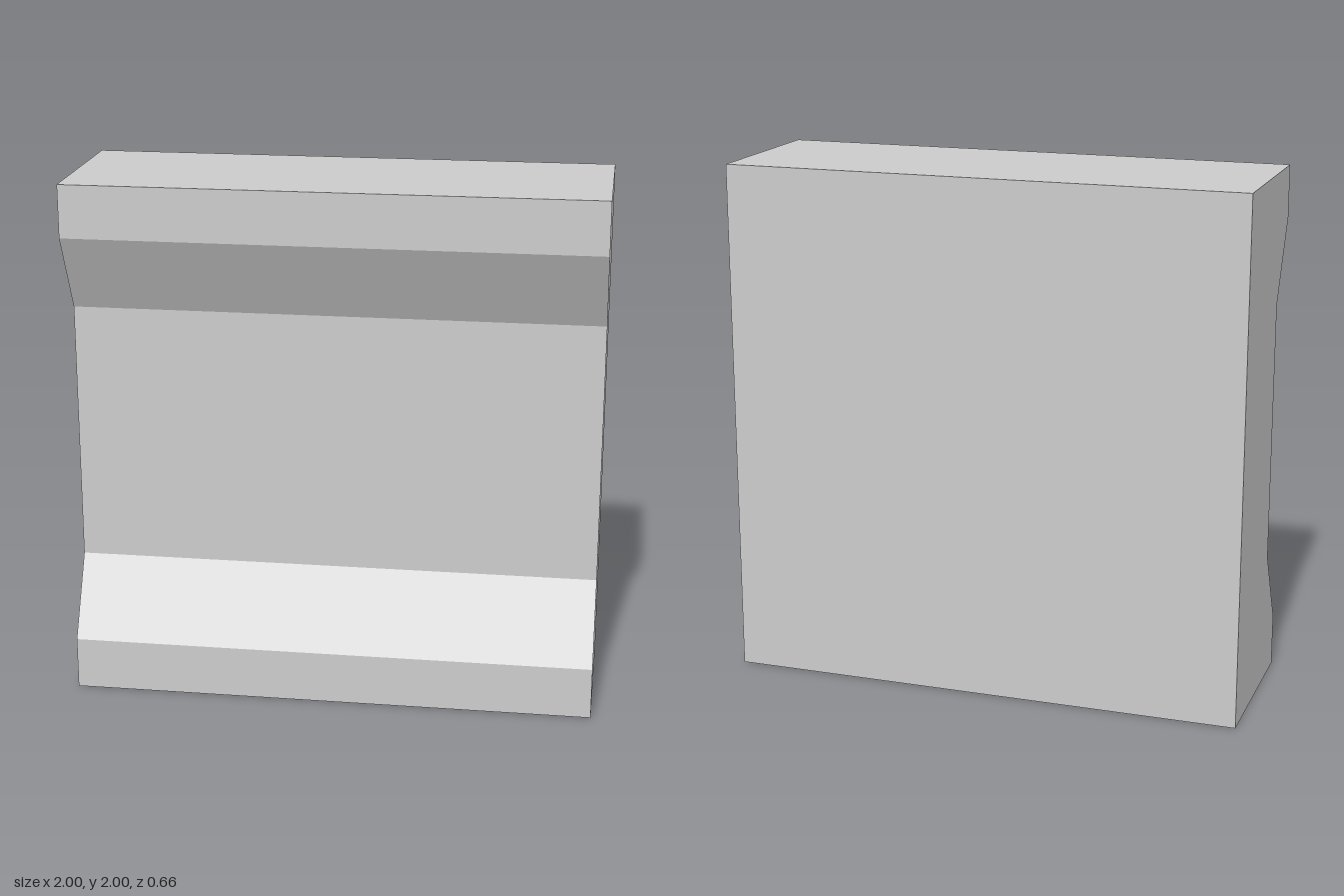
import * as THREE from 'three';

export function createModel() {
  const group = new THREE.Group();
  group.name = 'wallPanel';

  const width = 2;
  const back = -0.33, front = 0.33, recess = 0.17;

  // Side profile as [z, y]: flat back, front recessed between two sloped ledges
  const profile = [
    [back, 0], [front, 0], [front, 0.2], [recess, 0.5],
    [recess, 1.5], [front, 1.8], [front, 2], [back, 2],
  ];
  const shape = new THREE.Shape(profile.map(([z, y]) => new THREE.Vector2(-z, y)));

  // Sweep the profile across the width, then turn it so the recess faces +z
  const geometry = new THREE.ExtrudeGeometry(shape, { depth: width, bevelEnabled: false });
  geometry.translate(0, 0, -width / 2);
  geometry.rotateY(Math.PI / 2);

  const material = new THREE.MeshStandardMaterial({ color: 0xcccccc, flatShading: true });
  const panel = new THREE.Mesh(geometry, material);
  panel.name = 'recessedPanel';
  group.add(panel);

  return group;
}
